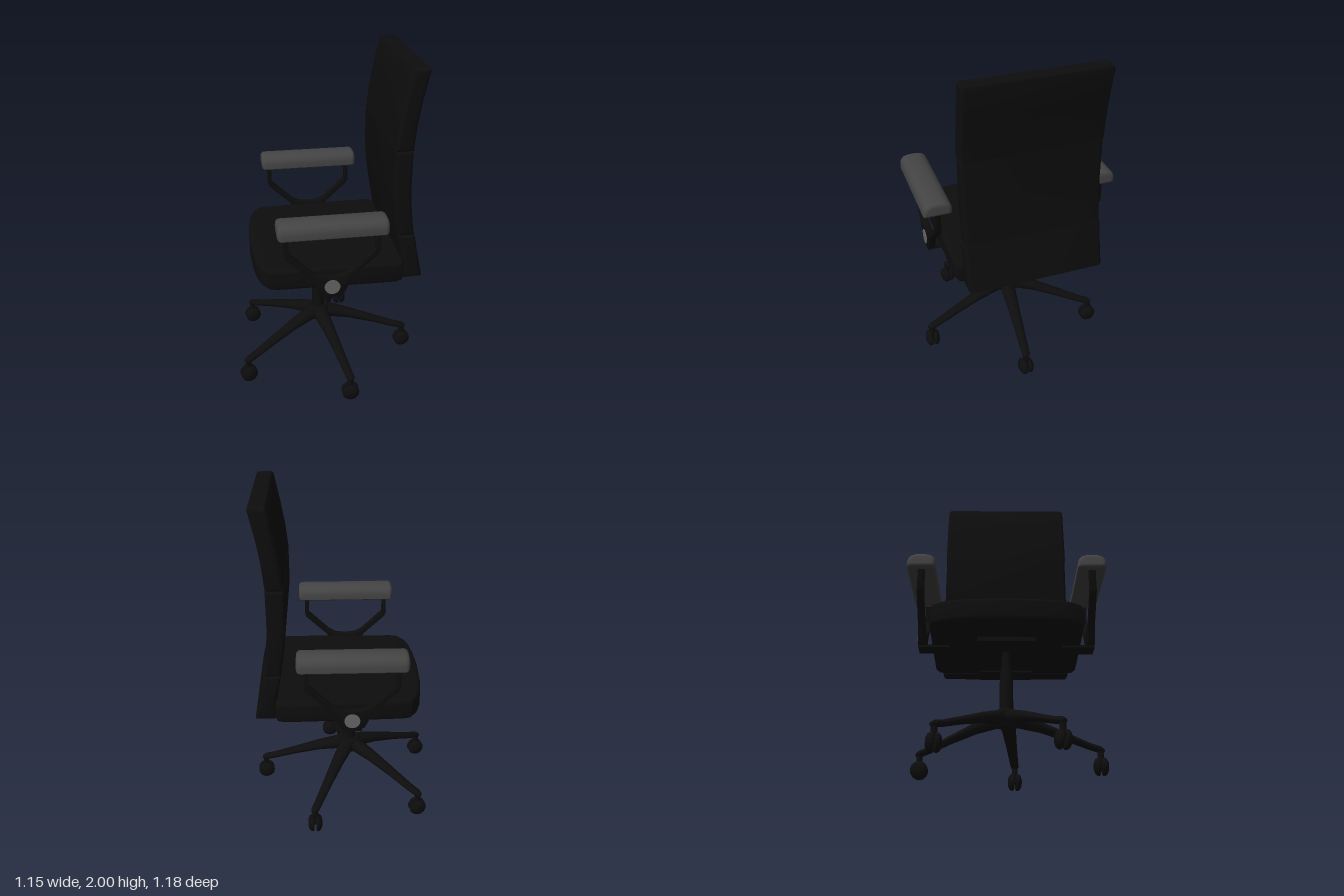
import * as THREE from 'three';
import { toCreasedNormals } from 'three/addons/utils/BufferGeometryUtils.js';

const black = new THREE.MeshStandardMaterial({ color: 0x0d0d0d });
const padGrey = new THREE.MeshStandardMaterial({ color: 0x444444 });
const capGrey = new THREE.MeshStandardMaterial({ color: 0x666666 });

const AXIS_X = -0.04; // swivel column position
const ARM_X = -0.035; // armrest centre

function add(parent, name, geometry, material = black, x = 0, y = 0, z = 0) {
  const mesh = new THREE.Mesh(geometry, material);
  mesh.name = name;
  mesh.position.set(x, y, z);
  parent.add(mesh);
  return mesh;
}

// Extrusion centred on its depth, with edges rounded inside the outline
function slab(points, depth, bevel, segments = 4) {
  const shape = new THREE.Shape(points.map(([a, b]) => new THREE.Vector2(a, b)));
  const geo = new THREE.ExtrudeGeometry(shape, {
    depth: depth - 2 * bevel, bevelThickness: bevel, bevelSize: bevel,
    bevelOffset: -bevel, bevelSegments: segments, curveSegments: 8,
  });
  geo.translate(0, 0, -(depth - 2 * bevel) / 2);
  return toCreasedNormals(geo, 0.6);
}

const lathe = (points, sides) => toCreasedNormals(
  new THREE.LatheGeometry(points.map(([r, y]) => new THREE.Vector2(r, y)), sides), 0.6);

// Tapered leg: stations of [radius from hub, top y, bottom y, half width]
function legGeometry() {
  const stations = [
    [0, 0.345, 0.25, 0.05], [0.07, 0.338, 0.25, 0.048], [0.2, 0.297, 0.232, 0.04],
    [0.36, 0.238, 0.19, 0.032], [0.5, 0.187, 0.146, 0.027], [0.56, 0.172, 0.132, 0.025],
    [0.582, 0.158, 0.135, 0.014],
  ];
  const n = stations.length - 1;
  const geo = new THREE.CylinderGeometry(1, 1, 1, 12, n);
  geo.rotateZ(-Math.PI / 2);
  const p = geo.attributes.position;
  for (let i = 0; i < p.count; i++) {
    const [r, top, bottom, half] = stations[Math.round((p.getX(i) + 0.5) * n)];
    p.setXYZ(i, r, (top + bottom) / 2 + p.getY(i) * (top - bottom) / 2, p.getZ(i) * half);
  }
  return toCreasedNormals(geo, 0.7);
}

function makeCaster() {
  const caster = new THREE.Group();
  caster.name = 'caster';
  const wheel = lathe([[0, 0.006], [0.046, 0.006], [0.052, 0.011], [0.052, 0.022],
    [0.044, 0.033], [0.028, 0.041], [0, 0.043]], 16);
  for (const side of [1, -1]) {
    add(caster, 'casterWheel', wheel, black, 0, 0.053, 0).rotation.x = side * Math.PI / 2;
  }
  add(caster, 'casterAxle', new THREE.CylinderGeometry(0.012, 0.012, 0.04, 10), black, 0, 0.053, 0)
    .rotation.x = Math.PI / 2;
  add(caster, 'casterStem', new THREE.CylinderGeometry(0.019, 0.016, 0.09, 12), black, 0, 0.108, 0);
  return caster;
}

function makeBase() {
  const base = new THREE.Group();
  base.name = 'base';
  base.position.x = AXIS_X;
  add(base, 'column', lathe([[0, 0.27], [0.04, 0.27], [0.04, 0.5], [0.037, 0.56],
    [0.022, 0.7], [0.022, 0.72], [0, 0.72]], 24));
  add(base, 'baseHub', lathe([[0, 0.25], [0.055, 0.25], [0.07, 0.28], [0.072, 0.33],
    [0.06, 0.346], [0, 0.348]], 24));
  const leg = legGeometry();
  for (let i = 0; i < 5; i++) {
    const angle = (6 + 72 * i) * Math.PI / 180;
    add(base, 'baseLeg', leg).rotation.y = -angle;
    const caster = makeCaster();
    caster.position.set(0.56 * Math.cos(angle), 0, 0.56 * Math.sin(angle));
    caster.rotation.y = [0.1, 0, 0.25, 0.2, Math.PI / 2][i];
    base.add(caster);
  }
  return base;
}

function makeSeat() {
  const seat = new THREE.Group();
  seat.name = 'seat';
  const half = [[-0.463, 0.18], [-0.448, 0.3], [-0.425, 0.37], [-0.385, 0.425], [-0.34, 0.437],
    [0, 0.446], [0.35, 0.452], [0.395, 0.437], [0.41, 0.4]];
  const outline = [[-0.469, 0], ...half, ...half.map(([x, z]) => [x, -z]).reverse()];
  const cushion = slab(outline, 0.132, 0.022);
  cushion.rotateX(-Math.PI / 2);
  add(seat, 'seatCushion', cushion, black, 0, 0.803, 0);
  add(seat, 'underSeatPlate', new THREE.BoxGeometry(0.4, 0.03, 0.34), black, -0.02, 0.725, 0);
  add(seat, 'backBracket', new THREE.BoxGeometry(0.15, 0.02, 0.34), black, 0.415, 0.735, 0);
  return seat;
}

// Three stacked cushions following the curve of the back
function makeBackrest() {
  const back = new THREE.Group();
  back.name = 'backrest';
  const sections = {
    lowerBack: [[0.41, 0.737], [0.525, 0.742], [0.495, 0.88], [0.468, 1.022], [0.366, 1.022], [0.394, 0.87]],
    middleBack: [[0.366, 1.018], [0.464, 1.018], [0.446, 1.16], [0.435, 1.3], [0.435, 1.545],
      [0.33, 1.545], [0.33, 1.3], [0.343, 1.17]],
    upperBack: [[0.331, 1.54], [0.434, 1.54], [0.447, 1.68], [0.467, 1.81], [0.505, 1.985],
      [0.502, 1.998], [0.415, 2], [0.405, 1.99], [0.37, 1.82], [0.346, 1.68]],
  };
  for (const [name, profile] of Object.entries(sections)) {
    add(back, name, slab(profile, name === 'middleBack' ? 0.816 : 0.824, 0.022));
  }
  return back;
}

function makeArm(side) {
  const arm = new THREE.Group();
  arm.name = side > 0 ? 'leftArm' : 'rightArm';
  arm.position.set(ARM_X, 0, side * 0.504);

  // Forked support around a round hub
  const half = [[0.04, 0.728], [0.072, 0.748], [0.092, 0.79], [0.125, 0.855], [0.264, 0.985],
    [0.272, 1.005], [0.272, 1.145], [0.246, 1.145], [0.246, 1.015], [0.11, 0.885], [0.065, 0.86]];
  const outline = [[0, 0.723], ...half, [0, 0.853], ...half.map(([x, y]) => [-x, y]).reverse()];
  add(arm, 'armSupport', slab(outline, 0.042, 0.004, 2));
  add(arm, 'armPivotCap', new THREE.CylinderGeometry(0.045, 0.045, 0.012, 28), capGrey,
    0, 0.793, side * 0.02).rotation.x = Math.PI / 2;
  add(arm, 'armBracket', new THREE.BoxGeometry(0.11, 0.016, 0.19), black, 0, 0.733, -side * 0.075);

  // Domed pad
  const section = [[-0.075, 1.13], [0.075, 1.13], [0.084, 1.138], [0.084, 1.17], [0.078, 1.192],
    [0.062, 1.21], [0.035, 1.219], [0, 1.221]];
  const mirrored = section.slice(2, -1).map(([z, y]) => [-z, y]).reverse();
  const pad = slab([...section, ...mirrored], 0.62, 0.025, 5);
  pad.rotateY(Math.PI / 2);
  add(arm, 'armPad', pad, padGrey);
  return arm;
}

export function createModel() {
  const chair = new THREE.Group();
  chair.name = 'officeChair';
  chair.add(makeBase(), makeSeat(), makeBackrest(), makeArm(1), makeArm(-1));
  return chair;
}
